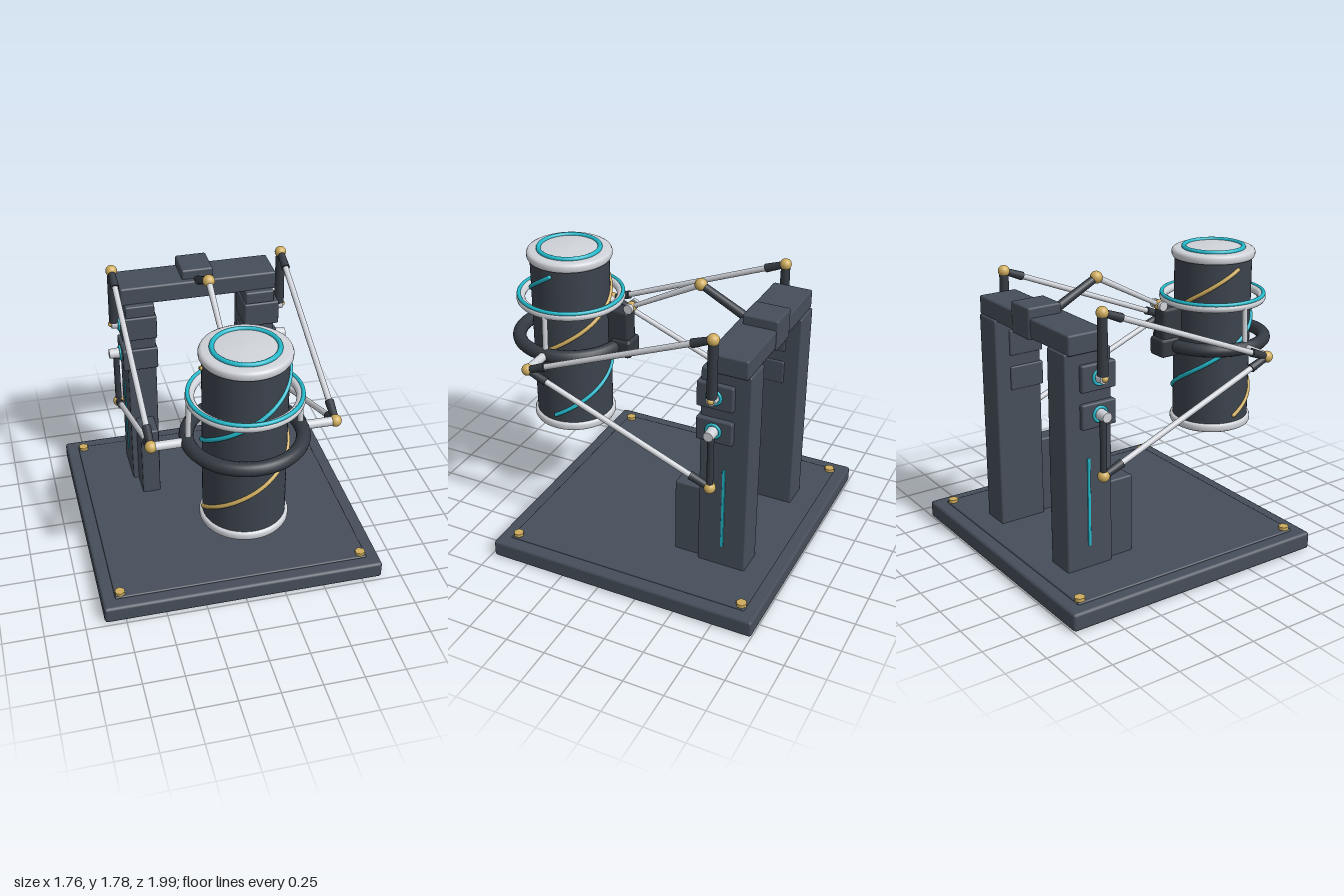
import * as THREE from 'three';
import { RoundedBoxGeometry } from 'three/addons/geometries/RoundedBoxGeometry.js';

const mat = (name, color) => Object.assign(new THREE.MeshStandardMaterial({ color }), { name });
const V = (x, y, z) => new THREE.Vector3(x, y, z);

export function createModel() {
  const root = new THREE.Group();
  root.name = 'gimbalCylinderRig';
  const frame = mat('frameSlate', 0x464e5a);
  const dark = mat('darkRubber', 0x343a42);
  const shell = mat('canisterShell', 0x3c434d);
  const white = mat('paleMetal', 0xd0d3d9);
  const gold = mat('brass', 0xcfad5e);
  const cyan = mat('cyan', 0x22b8ca);
  const magenta = mat('magenta', 0xb430c4);

  const add = (name, geo, m, x = 0, y = 0, z = 0, parent = root) => {
    const mesh = new THREE.Mesh(geo, m);
    mesh.name = name;
    mesh.position.set(x, y, z);
    parent.add(mesh);
    return mesh;
  };
  // Bevelled box given by its minimum and maximum corners
  const box = (name, m, x0, x1, y0, y1, z0, z1, r = 0.01) =>
    add(name, new RoundedBoxGeometry(x1 - x0, y1 - y0, z1 - z0, 1, r), m,
      (x0 + x1) / 2, (y0 + y1) / 2, (z0 + z1) / 2);
  // Round bar between two points
  const bar = (name, m, a, b, r0, r1 = r0) => {
    const d = b.clone().sub(a);
    const mesh = add(name, new THREE.CylinderGeometry(r1, r0, d.length(), 20), m);
    mesh.position.copy(a).addScaledVector(d, 0.5);
    mesh.quaternion.setFromUnitVectors(V(0, 1, 0), d.normalize());
    return mesh;
  };
  const ball = (name, m, p, r) => add(name, new THREE.SphereGeometry(r, 20, 14), m, p.x, p.y, p.z);
  const ring = (name, m, R, r, y, z) => {
    const t = add(name, new THREE.TorusGeometry(R, r, 14, 64), m, 0, y, z);
    t.rotation.x = Math.PI / 2;
    return t;
  };
  // Pale link with dark sockets at both ends
  const link = (name, a, b) => {
    const d = b.clone().sub(a).normalize();
    bar(name, white, a, b, 0.018);
    bar(name + 'Socket', dark, a.clone().addScaledVector(d, 0.025), a.clone().addScaledVector(d, 0.135), 0.022, 0.027);
    bar(name + 'Socket', dark, b.clone().addScaledVector(d, -0.025), b.clone().addScaledVector(d, -0.135), 0.022, 0.027);
  };

  // Base plate, raised inset and corner bolts
  box('basePlate', frame, -0.88, 0.88, 0, 0.11, -1, 0.73, 0.018);
  box('baseInset', frame, -0.8, 0.8, 0.08, 0.12, -0.92, 0.65, 0.008);
  for (const x of [-0.765, 0.765]) for (const z of [-0.89, 0.615])
    add('baseBolt', new THREE.CylinderGeometry(0.033, 0.033, 0.04, 6), gold, x, 0.12, z);

  // Gantry beam and its top block
  box('crossBeam', frame, -0.5, 0.5, 1.44, 1.56, -0.77, -0.52, 0.012);
  box('beamBlock', frame, -0.1, 0.1, 1.43, 1.62, -0.78, -0.56, 0.012);

  const cz = 0.62, pz = -0.575;
  for (const s of [-1, 1]) {
    const span = (name, m, a, b, ...rest) => box(name, m, Math.min(s * a, s * b), Math.max(s * a, s * b), ...rest);
    // Column with foot block and light strip
    span('column', frame, 0.295, 0.48, 0.11, 1.45, -0.785, -0.48);
    span('columnFoot', frame, 0.327, 0.445, 0.11, 0.61, -0.49, -0.31);
    span('columnStrip', cyan, 0.478, 0.486, 0.257, 0.81, -0.647, -0.627, 0.003);

    // Pivot housings with lit collars and hubs
    for (const [y, y0, y1, end] of [[1.295, 1.215, 1.375, 0.56], [1.075, 0.995, 1.145, 0.585]]) {
      span('pivotHousing', frame, 0.285, 0.51, y0, y1, -0.69, -0.465);
      const c = add('pivotCollar', new THREE.TorusGeometry(0.042, 0.009, 10, 32), cyan, s * 0.513, y, pz);
      c.rotation.y = Math.PI / 2;
      bar('pivotHub', white, V(s * 0.49, y, pz), V(s * end, y, pz), 0.036, 0.03);
    }
    ball('pivotCap', gold, V(s * 0.56, 1.295, pz), 0.02);

    // Cranks, links and ball joints
    const top = V(s * 0.54, 1.67, pz), low = V(s * 0.54, 0.705, pz), elbow = V(s * 0.54, 1.188, cz);
    bar('upperCrank', dark, V(s * 0.54, 1.31, pz), top, 0.032, 0.028);
    bar('lowerCrank', dark, low, V(s * 0.54, 1.075, pz), 0.02);
    link('upperLink', elbow, top);
    link('lowerLink', elbow, low);
    ball('upperJoint', gold, top, 0.036);
    ball('lowerJoint', gold, low, 0.036);
    ball('elbowJoint', gold, elbow, 0.036);

    // Trunnion and halo strut
    bar('trunnion', white, V(s * 0.35, 1.188, cz), V(s * 0.53, 1.188, cz), 0.027);
    bar('haloStrut', white, V(s * 0.33, 1.19, cz), V(s * 0.32, 1.45, cz), 0.017);
  }

  // Canister body with matching pale end caps
  add('canisterBody', new THREE.CylinderGeometry(0.243, 0.243, 1.07, 64, 1, true), shell, 0, 1.19, cz);
  const profile = [[0, 0.075], [0.08, 0.072], [0.16, 0.064], [0.2, 0.058], [0.24, 0.058], [0.255, 0.05],
    [0.261, 0.038], [0.261, 0.016], [0.255, 0.004], [0.24, 0]]
    .map(([r, y]) => new THREE.Vector2(r, y)).reverse();
  const capGeo = new THREE.LatheGeometry(profile, 64);
  add('topCap', capGeo, white, 0, 1.705, cz);
  add('bottomCap', capGeo, white, 0, 0.667, cz).rotation.x = Math.PI;
  ring('topLightRing', cyan, 0.187, 0.014, 1.768, cz);
  ring('bottomLightRing', magenta, 0.187, 0.014, 0.607, cz);

  // Two helical bands, half a turn apart
  for (const [name, m, phase] of [['cyanHelix', cyan, 0], ['brassHelix', gold, Math.PI]]) {
    const pts = Array.from({ length: 41 }, (_, i) => {
      const t = i / 40, a = phase + t * Math.PI * 2;
      return V(Math.cos(a) * 0.245, 1.665 - 0.955 * t, Math.sin(a) * 0.245);
    });
    add(name, new THREE.TubeGeometry(new THREE.CatmullRomCurve3(pts), 120, 0.013, 10), m, 0, 0, cz);
    for (const p of [pts[0], pts[40]]) ball(name + 'End', m, p.clone().setZ(p.z + cz), 0.013);
  }

  // Gimbal ring and upper halo
  ring('gimbalRing', dark, 0.332, 0.042, 1.188, cz);
  ring('halo', white, 0.31, 0.027, 1.45, cz);
  ring('haloLight', cyan, 0.322, 0.012, 1.474, cz);

  // Rear bracket with clevis
  box('rearBracket', dark, -0.055, 0.055, 1.14, 1.435, 0.2, 0.345, 0.02);
  box('bracketFoot', dark, -0.07, 0.07, 1.125, 1.245, 0.18, 0.32, 0.02);
  const clevis = V(0, 1.457, 0.2), knee = V(0, 1.7, -0.257);
  ball('clevisBall', gold, clevis, 0.032);
  for (const s of [-1, 1])
    bar('clevisCheek', white, V(s * 0.028, 1.457, 0.2), V(s * 0.052, 1.457, 0.2), 0.03);

  // Centre stabiliser arm
  bar('centreLink', white, clevis, knee, 0.014, 0.02);
  ball('centreJoint', gold, knee, 0.038);
  bar('centreArm', dark, knee, V(0, 1.545, -0.56), 0.024, 0.028);
  return root;
}
